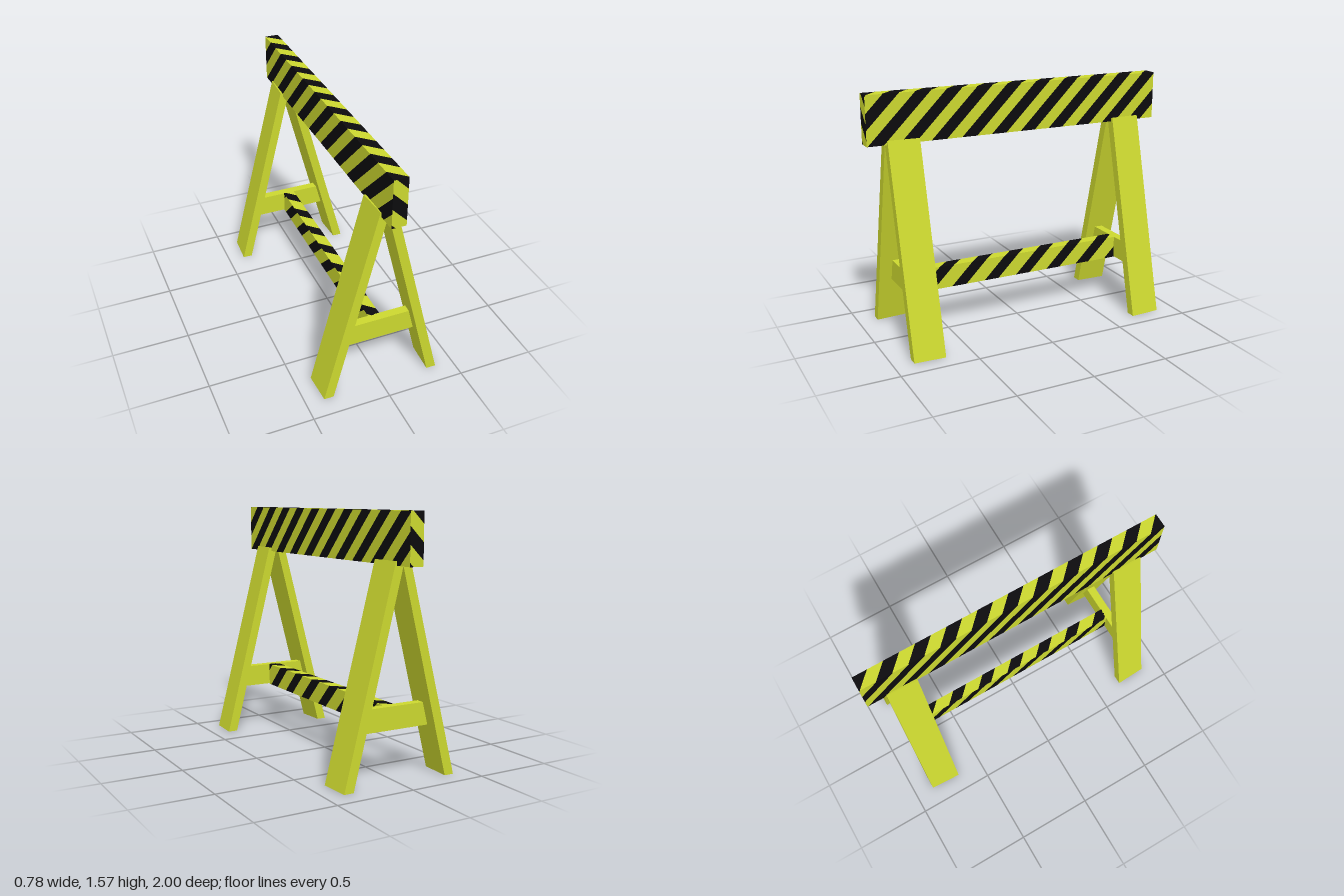
import * as THREE from 'three';

const yellow = new THREE.MeshStandardMaterial({ color: 0xcbd72f });
yellow.name = 'safety yellow';
const black = new THREE.MeshStandardMaterial({ color: 0x0c0b0d });
black.name = 'stripe black';

// Keeps the part of a 2D polygon where sign * (u + slope * v - limit) >= 0
function clip(poly, slope, limit, sign) {
  const side = (p) => sign * (p[0] + slope * p[1] - limit);
  const out = [];
  poly.forEach((a, i) => {
    const b = poly[(i + 1) % poly.length];
    const da = side(a), db = side(b);
    if (da >= 0) out.push(a);
    if (da * db < 0) {
      const t = da / (da - db);
      out.push([a[0] + (b[0] - a[0]) * t, a[1] + (b[1] - a[1]) * t]);
    }
  });
  return out;
}

// Cuts one rectangular face into diagonal bands, sorted into [yellow, black] triangle lists
function stripeFace(lists, { u, v, place, normal, slope, centre, period, width }) {
  const rect = [[u[0], v[0]], [u[1], v[0]], [u[1], v[1]], [u[0], v[1]]];
  const s = rect.map((p) => p[0] + slope * p[1]);
  const first = Math.floor((Math.min(...s) - centre) / period) - 1;
  const last = Math.ceil((Math.max(...s) - centre) / period) + 1;
  for (let k = first; k <= last; k++) {
    const a = centre + k * period - width / 2;
    [[a, a + width, 1], [a + width, a + period, 0]].forEach(([from, to, colour]) => {
      const poly = clip(clip(rect, slope, from, 1), slope, to, -1);
      for (let i = 1; i + 1 < poly.length; i++) {
        const tri = [poly[0], poly[i], poly[i + 1]].map((p) => new THREE.Vector3(...place(p[0], p[1])));
        const n = tri[1].clone().sub(tri[0]).cross(tri[2].clone().sub(tri[0]));
        if (n.dot(normal) < 0) tri.reverse();
        tri.forEach((p) => lists[colour].push(p.x, p.y, p.z));
      }
    });
  }
}

// Plank along z whose stripes wind around the long faces
function stripedPlank(name, { w, y0, y1, l, period, width, side, top, bottom, end }) {
  const lists = [[], []];
  const base = { period, width };
  const add = (o) => stripeFace(lists, { ...base, ...o });
  for (const m of [1, -1]) {
    add({ u: [-l, l], v: [y0, y1], place: (z, y) => [m * w, y, m * z],
      normal: new THREE.Vector3(m, 0, 0), slope: 1, centre: side });
    add({ u: [-w, w], v: [y0, y1], place: (x, y) => [m * x, y, m * l],
      normal: new THREE.Vector3(0, 0, m), slope: 1, centre: end });
  }
  add({ u: [-l, l], v: [-w, w], place: (z, x) => [x, y1, z],
    normal: new THREE.Vector3(0, 1, 0), slope: -1, centre: top });
  add({ u: [-l, l], v: [-w, w], place: (z, x) => [x, y0, z],
    normal: new THREE.Vector3(0, -1, 0), slope: 1, centre: bottom });

  const group = new THREE.Group();
  group.name = name;
  [yellow, black].forEach((material, i) => {
    const geo = new THREE.BufferGeometry();
    geo.setAttribute('position', new THREE.Float32BufferAttribute(lists[i], 3));
    geo.computeVertexNormals();
    const mesh = new THREE.Mesh(geo, material);
    mesh.name = name + (i ? 'BlackStripes' : 'YellowStripes');
    group.add(mesh);
  });
  return group;
}

// Prism from a front outline, running from z0 to z1
function prism(name, points, z0, z1) {
  const shape = new THREE.Shape(points.map((p) => new THREE.Vector2(...p)));
  const geo = new THREE.ExtrudeGeometry(shape, { depth: z1 - z0, bevelEnabled: false });
  geo.translate(0, 0, z0);
  const mesh = new THREE.Mesh(geo, yellow);
  mesh.name = name;
  return mesh;
}

// Leaning leg, splayed slightly wider on its inner edge
function leg(name, sx, sz) {
  const outline = [[0.32, 0], [0.382, 0], [0.05, 1.292], [-0.004, 1.278]].map(([x, y]) => [sx * x, y]);
  const mesh = prism(name, outline, sz > 0 ? 0.675 : -0.875, sz > 0 ? 0.875 : -0.675);
  const pos = mesh.geometry.attributes.position;
  for (let i = 0; i < pos.count; i++) {
    if (Math.abs(pos.getZ(i)) < 0.7) pos.setX(i, pos.getX(i) + sx * 0.01);
  }
  mesh.geometry.computeVertexNormals();
  return mesh;
}

export function createModel() {
  const model = new THREE.Group();
  model.name = 'barricade';

  // Striped boards
  model.add(stripedPlank('topBoard', {
    w: 0.045, y0: 1.265, y1: 1.57, l: 1, period: 0.2, width: 0.1,
    side: 2.41, top: 0, bottom: 1.195, end: 1.394,
  }));
  model.add(stripedPlank('lowerRail', {
    w: 0.037, y0: 0.297, y1: 0.443, l: 0.74, period: 0.228, width: 0.1,
    side: 0.5, top: 0.02, bottom: 0.24, end: 0.37,
  }));

  // A-frame at each end: two legs and a crossbar
  for (const sz of [1, -1]) {
    const frame = new THREE.Group();
    frame.name = sz > 0 ? 'frontFrame' : 'backFrame';
    frame.add(leg('leftLeg', 1, sz), leg('rightLeg', -1, sz));
    const bar = [[-0.26, 0.302], [0.26, 0.302], [0.225, 0.443], [-0.225, 0.443]];
    frame.add(prism('crossbar', bar, sz > 0 ? 0.735 : -0.79, sz > 0 ? 0.79 : -0.735));
    model.add(frame);
  }
  return model;
}
